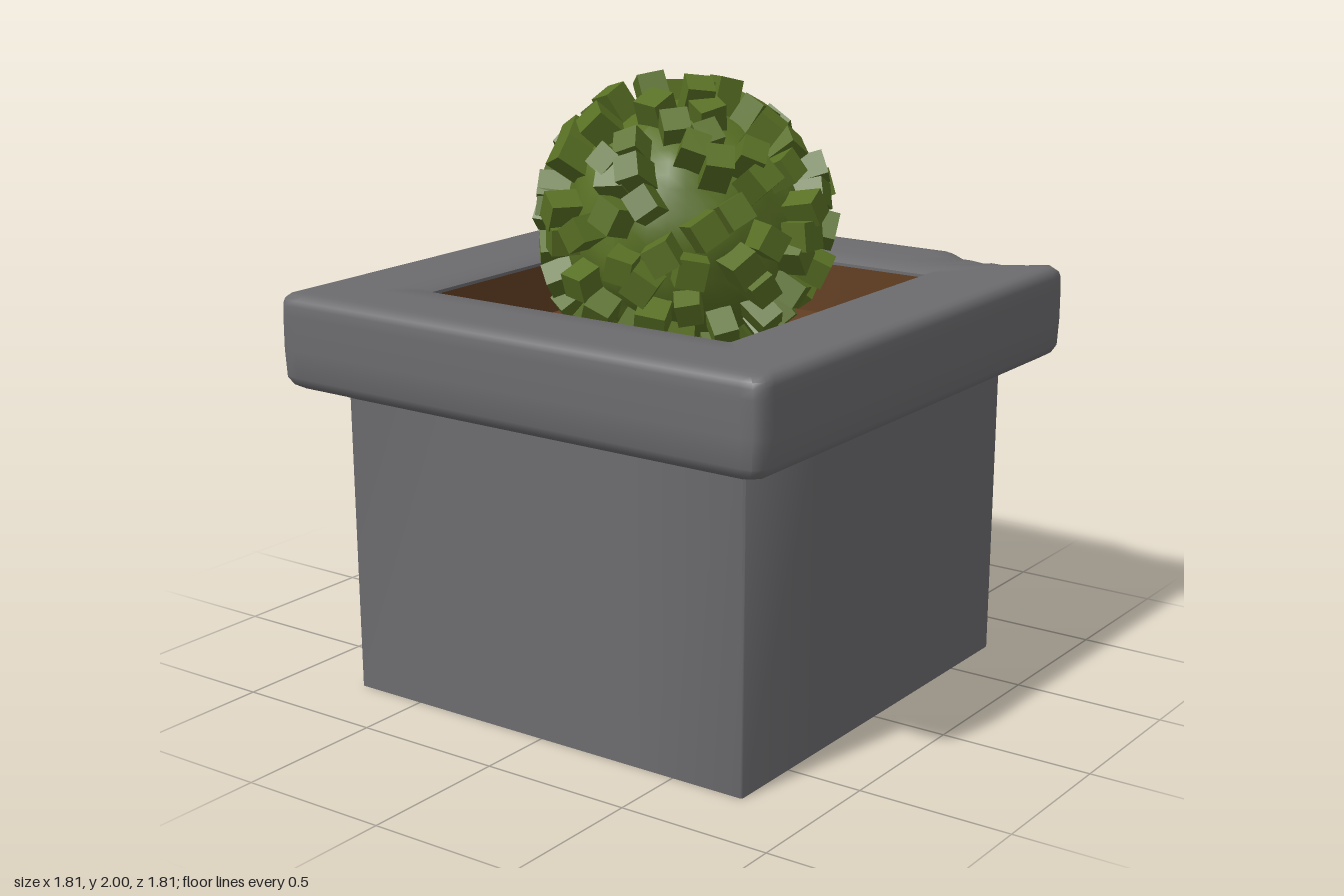
import * as THREE from 'three';
import { mergeGeometries, toCreasedNormals } from 'three/addons/utils/BufferGeometryUtils.js';

const material = (name, color) => {
  const m = new THREE.MeshStandardMaterial({ color });
  m.name = name;
  return m;
};

// Square loft: profile points are [half width, height, corner chamfer].
function squareLoft(profile, steps, warp) {
  const pos = [], index = [];
  const n = 4 * (steps + 1);
  for (const [h, y, chamfer] of profile) {
    const c = Math.min(chamfer, h);
    for (let side = 0; side < 4; side++) {
      for (let i = 0; i <= steps; i++) {
        let x = h, z = (h - c) * (2 * i / steps - 1);
        for (let k = 0; k < side; k++) [x, z] = [-z, x];
        const p = new THREE.Vector3(x, y, z);
        if (warp) warp(p);
        pos.push(p.x, p.y, p.z);
      }
    }
  }
  for (let j = 0; j < profile.length - 1; j++) {
    for (let i = 0; i < n; i++) {
      const a = j * n + i, b = j * n + (i + 1) % n;
      index.push(a, a + n, b, b, a + n, b + n);
    }
  }
  const g = new THREE.BufferGeometry();
  g.setAttribute('position', new THREE.Float32BufferAttribute(pos, 3));
  g.setIndex(index);
  return toCreasedNormals(g, 0.9);
}

// Scoops a shallow chip out of the rim's upper left edge, near the front.
function chipRim(p) {
  if (p.x < 0.76 || p.y < 1.2 || p.z < 0.49 || p.z > 0.86) return;
  const t = Math.sin(Math.PI * (p.z - 0.49) / 0.37);
  const wobble = 0.006 * Math.sin(p.z * 60);
  const over = 0.43 * (p.x - 0.79) + 0.9 * (p.y - 1.32) - (1 - Math.sqrt(t)) * 0.06 + wobble * t;
  if (over > 0) {
    p.x -= 0.43 * over;
    p.y -= 0.9 * over;
  }
}

function seeded(seed) {
  return () => (seed = (seed * 16807) % 2147483647) / 2147483647;
}

// Lumpy round core of the plant
function bushCore() {
  const g = new THREE.SphereGeometry(0.38, 40, 28);
  const p = g.attributes.position, v = new THREE.Vector3();
  for (let i = 0; i < p.count; i++) {
    v.fromBufferAttribute(p, i);
    const lump = Math.sin(v.x * 19) * Math.sin(v.y * 17 + 1) * Math.sin(v.z * 18 + 2);
    v.multiplyScalar(1 + 0.05 * lump);
    p.setXYZ(i, v.x, v.y, v.z);
  }
  g.computeVertexNormals();
  return g;
}

// Blocky stubs spread evenly over the core
function bushStubs(count) {
  const rnd = seeded(77), parts = [];
  const up = new THREE.Vector3(0, 1, 0);
  for (let i = 0; i < count; i++) {
    const y = 1 - 2 * (i + 0.5) / count;
    const a = i * 2.39996 + (rnd() - 0.5) * 0.3;
    const r = Math.sqrt(1 - y * y);
    const dir = new THREE.Vector3(r * Math.cos(a), y + (rnd() - 0.5) * 0.1, r * Math.sin(a)).normalize();
    const tip = 0.455 + rnd() * 0.04;
    const w = 0.055 + rnd() * 0.012;
    const g = new THREE.CylinderGeometry(w, w * 1.05, 0.2, 4).toNonIndexed();
    g.computeVertexNormals();
    g.rotateY(rnd() * Math.PI);
    // Lean each stub a little about its root
    g.translate(0, 0.1, 0);
    g.rotateX((rnd() - 0.5) * 0.5);
    g.rotateZ((rnd() - 0.5) * 0.5);
    g.applyQuaternion(new THREE.Quaternion().setFromUnitVectors(up, dir));
    g.translate(dir.x * (tip - 0.2), dir.y * (tip - 0.2), dir.z * (tip - 0.2));
    parts.push(g);
  }
  return mergeGeometries(parts);
}

export function createModel() {
  const stone = material('grey stone', 0x6c6c6f);
  const earth = material('brown soil', 0x633f22);
  const leaf = material('leaf green', 0x586f24);

  const model = new THREE.Group();
  model.name = 'pottedBush';
  const add = (name, geometry, mat, parent = model) => {
    const mesh = new THREE.Mesh(geometry, mat);
    mesh.name = name;
    parent.add(mesh);
    return mesh;
  };

  // Slightly flared square body with a closed base
  add('potBody', squareLoft([
    [0, 0, 0.006], [0.75, 0, 0.006], [0.756, 1.0, 0.006],
  ], 4), stone);

  // Thick rim with softened edges and one chip
  add('potRim', squareLoft([
    [0.75, 0.975, 0.006], [0.77, 0.985, 0.01], [0.865, 1.02, 0.03], [0.89, 1.035, 0.03],
    [0.902, 1.06, 0.025], [0.906, 1.15, 0.025], [0.906, 1.23, 0.025], [0.906, 1.26, 0.025],
    [0.905, 1.29, 0.025], [0.9, 1.308, 0.025], [0.885, 1.322, 0.025], [0.86, 1.325, 0.02],
    [0.83, 1.325, 0.02], [0.79, 1.325, 0.015], [0.68, 1.324, 0.01], [0.595, 1.32, 0.005],
    [0.572, 1.308, 0.004], [0.57, 1.1, 0.004],
  ], 40, chipRim), stone);

  // Soil floor and the earth clinging to the inner walls
  const soil = add('soil', new THREE.BoxGeometry(1.14, 0.06, 1.14), earth);
  soil.position.y = 1.1;
  add('soilWalls', squareLoft([[0.565, 1.3, 0.004], [0.563, 1.12, 0.004]], 2), earth);

  // Round bush
  const bush = new THREE.Group();
  bush.name = 'bush';
  bush.position.set(0, 1.51, 0.01);
  model.add(bush);
  add('bushCore', bushCore(), leaf, bush);
  add('bushStubs', bushStubs(125), leaf, bush);
  return model;
}
